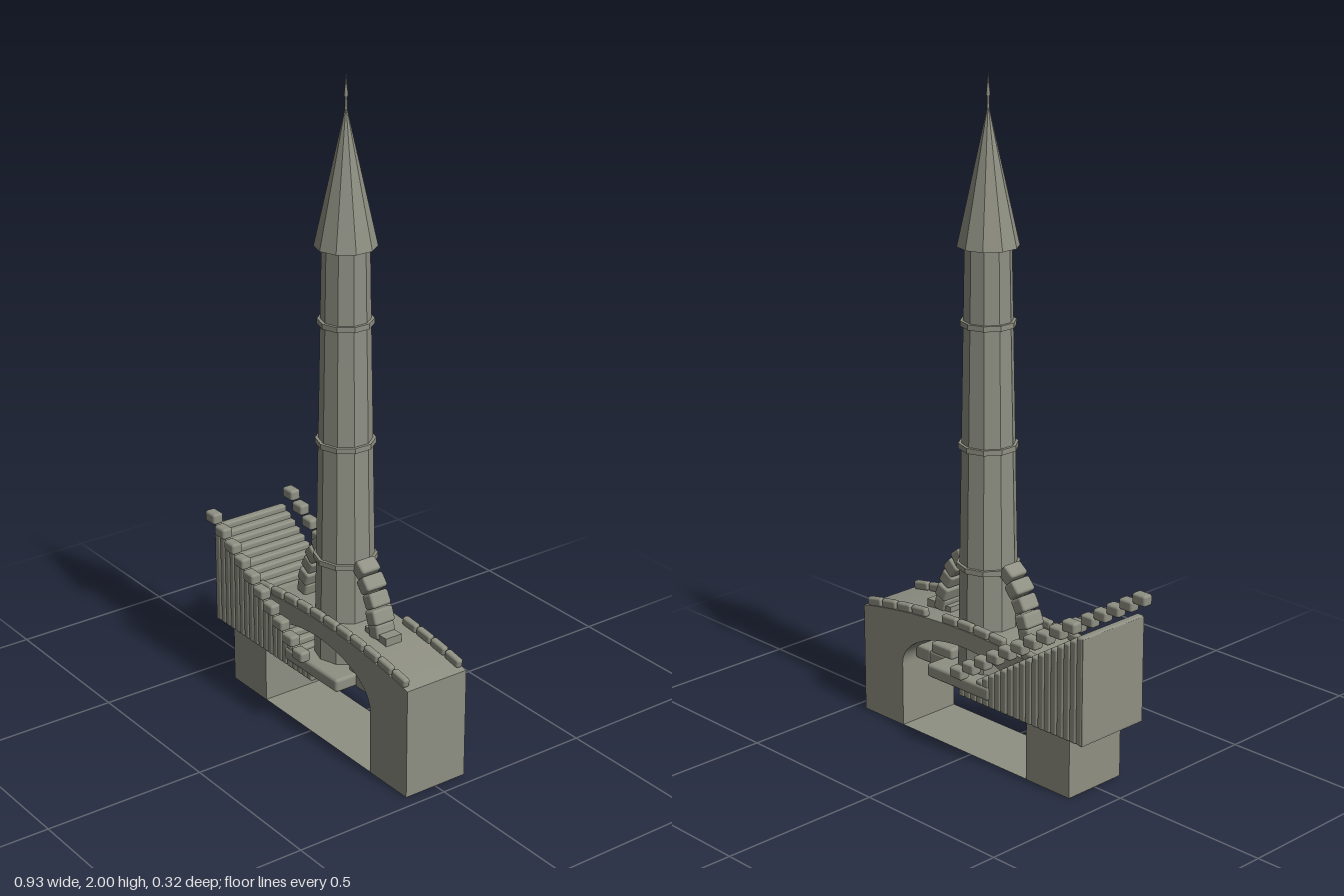
import * as THREE from 'three';
import { RoundedBoxGeometry } from 'three/addons/geometries/RoundedBoxGeometry.js';

const CX = 0.03; // tower and arch axis
const deckY = (x) => 0.383 - 0.043 * ((x - CX) / 0.43) ** 2;

export function createModel() {
  const model = new THREE.Group();
  const stone = new THREE.MeshStandardMaterial({ color: 0x8f9083 });
  stone.name = 'weatheredStone';
  const facetedStone = stone.clone();
  facetedStone.flatShading = true;
  const sheetStone = stone.clone();
  sheetStone.side = THREE.DoubleSide;

  const add = (name, geometry, x = 0, y = 0, z = 0, rz = 0, material = stone) => {
    const mesh = new THREE.Mesh(geometry, material);
    mesh.name = name;
    mesh.position.set(x, y, z);
    mesh.rotation.z = rz;
    model.add(mesh);
    return mesh;
  };
  const block = (w, h, d, r = 0.008) => new RoundedBoxGeometry(w, h, d, 2, r);

  // Arched bridge with a gently humped deck
  const outline = new THREE.Shape();
  outline.moveTo(-0.4, 0);
  outline.lineTo(-0.23, 0);
  outline.lineTo(-0.23, 0.2);
  outline.absellipse(CX, 0.2, 0.26, 0.13, Math.PI, 0, true);
  outline.lineTo(0.29, 0);
  outline.lineTo(0.46, 0);
  for (let i = 0; i <= 16; i++) {
    const x = 0.46 - (0.86 * i) / 16;
    outline.lineTo(x, deckY(x));
  }
  const bridge = new THREE.ExtrudeGeometry(outline, { depth: 0.21, bevelEnabled: false, curveSegments: 24 });
  add('archBridge', bridge, 0, 0, -0.105);
  const floor = new THREE.PlaneGeometry(0.52, 0.21).rotateX(-Math.PI / 2);
  add('archFloor', floor, CX, 0.001, 0, 0, sheetStone);

  // Parapet stones along both deck edges, two missing at the back
  const parapet = block(0.062, 0.028, 0.022);
  for (let i = 0; i < 13; i++) {
    const x = -0.365 + i * 0.065;
    const tilt = Math.atan(-0.465 * (x - CX));
    add('parapetStone', parapet, x, deckY(x) + 0.012, 0.095, tilt);
    if (i !== 3 && i !== 8) add('parapetStone', parapet, x, deckY(x) + 0.012, -0.095, tilt);
  }

  // Staircase of full-height slabs rising to the left
  const steps = 20;
  for (let i = 0; i < steps; i++) {
    const h = 0.325 - i * 0.0157;
    add('stairStep', block(0.026, h, 0.25, 0.007), -0.4525 + i * 0.02475, 0.185 + h / 2, 0);
  }
  add('stairEndFace', new THREE.BoxGeometry(0.008, 0.32, 0.248), -0.461, 0.346, 0);

  // Stepped handrail stones beside the stairs
  const rail = block(0.05, 0.034, 0.035);
  for (let i = 0; i < 10; i++) {
    for (const side of [-1, 1]) {
      add('stairRailStone', rail, -0.44 + i * 0.0495, 0.546 - i * 0.0305, side * 0.1425);
    }
  }

  // Landing below the arch and the loose stones after it
  add('landing', block(0.26, 0.042, 0.258, 0.01), 0.03, 0.227, 0);
  add('landingStone', block(0.065, 0.045, 0.12), 0.19, 0.227, 0);
  add('landingStone', block(0.065, 0.045, 0.12), 0.25, 0.23, 0);
  add('landingStone', block(0.09, 0.035, 0.12), 0.17, 0.262, 0);

  // Ten-sided tapering tower with ring mouldings
  const towerRadius = (y) => 0.088 - (y - 0.4) * 0.0185;
  const tower = new THREE.CylinderGeometry(towerRadius(1.51), towerRadius(0.25), 1.26, 10);
  add('towerShaft', tower, CX, 0.88, 0, 0, facetedStone);
  for (const y of [0.563, 0.925, 1.285]) {
    const r = towerRadius(y) + 0.009;
    add('towerBand', new THREE.CylinderGeometry(r, r, 0.016, 10), CX, y, 0, 0, facetedStone);
  }

  // Spire and finial
  add('spire', new THREE.ConeGeometry(0.089, 0.4, 10), CX, 1.705, 0, 0, facetedStone);
  add('finialStem', new THREE.CylinderGeometry(0.003, 0.004, 0.04, 8), CX, 1.91, 0);
  add('finialTip', new THREE.ConeGeometry(0.006, 0.07, 8), CX, 1.96, 0);

  // Curved buttresses: offset from the tower axis, height, tilt
  const buttress = [
    [0.1, 0.56, -0.65],
    [0.127, 0.522, -0.85],
    [0.15, 0.48, -1.05],
    [0.166, 0.435, -1.2],
    [0.175, 0.395, -1.35],
  ];
  buttress.forEach(([dx, y, tilt], i) => {
    for (const side of [-1, 1]) {
      add('buttressStone', block(0.045, 0.046, 0.066 + (i % 2) * 0.006), CX + side * dx, y, 0, side * tilt);
    }
  });
  add('buttressFoot', new THREE.BoxGeometry(0.1, 0.04, 0.056), 0.212, 0.375, 0);

  return model;
}
